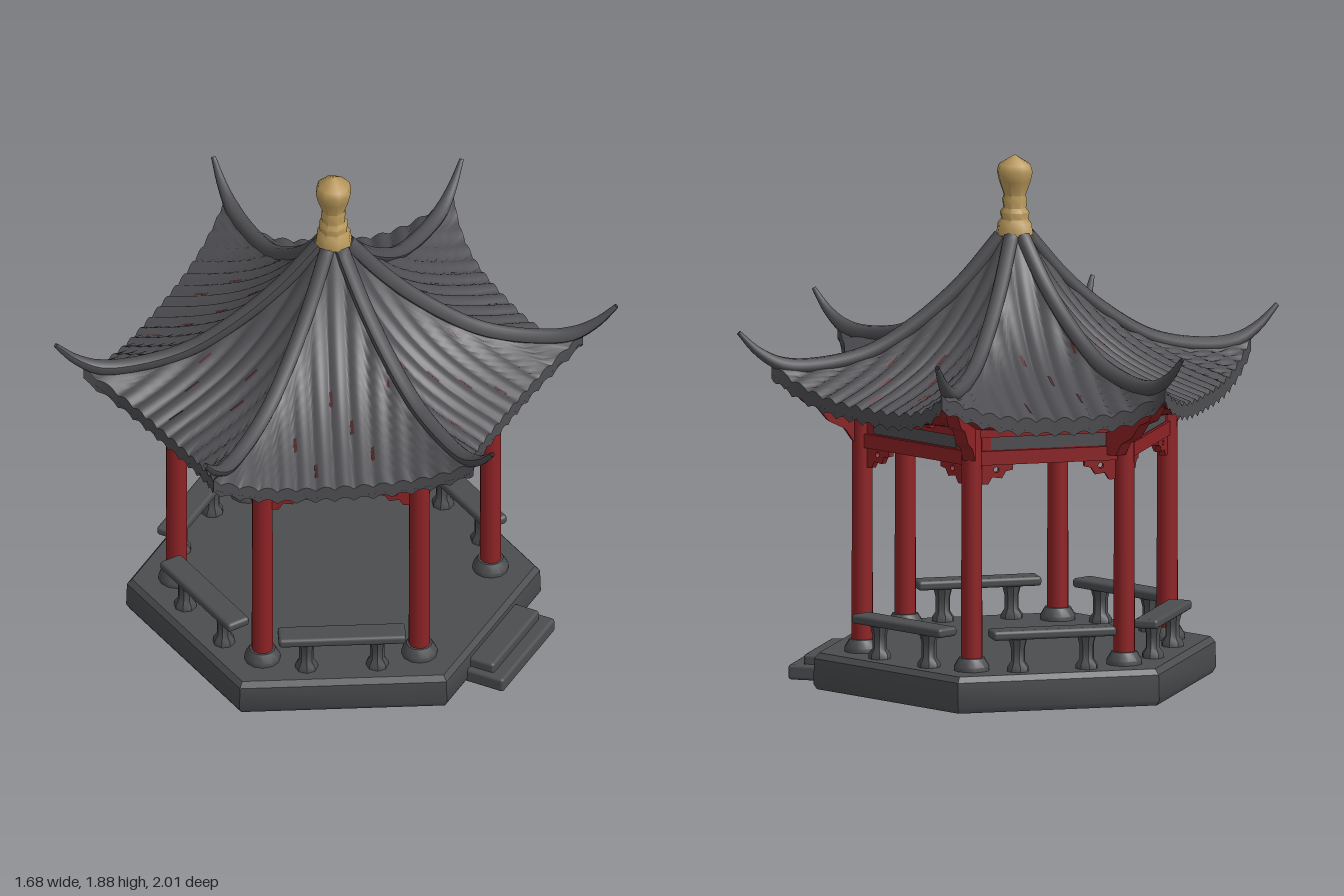
import * as THREE from 'three';
import { toCreasedNormals } from 'three/addons/utils/BufferGeometryUtils.js';
import { RoundedBoxGeometry } from 'three/addons/geometries/RoundedBoxGeometry.js';

const rad = THREE.MathUtils.degToRad;
const V = (x, y, z = 0) => new THREE.Vector3(x, y, z);
const polar = (r, deg, y) => V(r * Math.cos(rad(deg)), y, r * Math.sin(rad(deg)));

const material = (name, color, side = THREE.FrontSide) => {
  const m = new THREE.MeshStandardMaterial({ color, side });
  m.name = name;
  return m;
};

// Grid surface from a rule fn(s, t) -> Vector3
function surface(fn, ns, nt) {
  const pos = [], index = [];
  for (let j = 0; j <= nt; j++)
    for (let i = 0; i <= ns; i++) pos.push(...fn(i / ns, j / nt).toArray());
  for (let j = 0; j < nt; j++)
    for (let i = 0; i < ns; i++) {
      const a = j * (ns + 1) + i, b = a + ns + 1;
      index.push(a, a + 1, b, a + 1, b + 1, b);
    }
  const g = new THREE.BufferGeometry();
  g.setAttribute('position', new THREE.Float32BufferAttribute(pos, 3));
  g.setIndex(index);
  g.computeVertexNormals();
  return g;
}

// Turned shape, creased where faces meet at more than the given angle
function turned(points, sides, crease = 0.6) {
  const g = new THREE.LatheGeometry(points.map(([r, y]) => new THREE.Vector2(r, y)), sides);
  return toCreasedNormals(g, crease);
}

// Flat plate in the local xy plane, centred on z = 0
function plate(points, depth, hole) {
  const shape = new THREE.Shape(points.map(([x, y]) => new THREE.Vector2(x, y)));
  if (hole) shape.holes.push(new THREE.Path().absarc(hole[0], hole[1], hole[2], 0, Math.PI * 2, true));
  const g = new THREE.ExtrudeGeometry(shape, { depth, bevelEnabled: false, curveSegments: 6 });
  return g.translate(0, 0, -depth / 2);
}

export function createModel() {
  const tile = material('roof grey', 0x4f4f53, THREE.DoubleSide);
  const stone = material('stone grey', 0x4c4d4f);
  const red = material('painted red', 0x8f2326, THREE.DoubleSide);
  const brown = material('weathered red brown', 0x522c2c, THREE.DoubleSide);
  const gold = material('finial gold', 0xb8975a);

  const model = new THREE.Group();
  const pavilion = new THREE.Group();
  pavilion.name = 'pavilion';
  pavilion.position.x = -0.035;
  model.add(pavilion);
  const add = (name, geo, mat, parent = pavilion) => {
    const m = new THREE.Mesh(geo, mat);
    m.name = name;
    parent.add(m);
    return m;
  };

  // Stone platform and entrance steps
  add('platform', turned([[0, 0], [0.72, 0], [0.733, 0.02], [0.73, 0.11], [0.712, 0.13], [0, 0.132]], 6), stone);
  add('upperStep', new RoundedBoxGeometry(0.14, 0.09, 0.36, 2, 0.012), stone).position.set(0.655, 0.046, 0);
  add('lowerStep', new RoundedBoxGeometry(0.2, 0.055, 0.41, 2, 0.012), stone).position.set(0.675, 0.028, 0);

  // Roof corners, eave depth of each side, and slope profiles as (radius, height)
  const hexAngle = (k) => 30 + 60 * k;
  const cornerAngle = [29, 90, 142, 218, 270, 331, 389];
  const cornerReach = [0.98, 1.04, 1, 1, 1.04, 0.98, 0.98];
  const eaveRadius = [0.72, 0.72, 0.7, 0.72, 0.72, 0.675];
  const profile = (list) => new THREE.CatmullRomCurve3(list.map(([r, y]) => V(r, y)));
  const hip = profile([[0.05, 1.6], [0.19, 1.43], [0.35, 1.29], [0.52, 1.19], [0.7, 1.145], [0.9, 1.16]]);
  const mid = profile([[0.045, 1.59], [0.15, 1.42], [0.28, 1.27], [0.41, 1.17], [0.55, 1.1], [0.7, 1.045]]);

  function roofPoint(k, s, t) {
    const h = hip.getPoint(t), m = mid.getPoint(t);
    const a = polar(h.x * cornerReach[k], cornerAngle[k], h.y);
    const b = polar(h.x * cornerReach[k + 1], cornerAngle[k + 1], h.y);
    const c = polar(m.x * eaveRadius[k] / 0.7, hexAngle(k) + 30, m.y);
    const w = 1 - Math.abs(2 * s - 1) ** 3;
    const offset = c.sub(a.clone().add(b).multiplyScalar(0.5));
    return a.lerp(b, s).addScaledVector(offset, w);
  }
  const along = (k, p) => p.dot(polar(1, hexAngle(k) + 120, 0));
  function tiledPoint(k, s, t) {
    const p = roofPoint(k, s, t);
    p.y += 0.017 * Math.abs(Math.cos(Math.PI * along(k, p) / 0.068));
    return p;
  }
  // Narrow worn strip lying in the groove at distance d along the side
  const wornStrip = (k, d, t0, t1) => surface((u, v) => {
    const t = t0 + (t1 - t0) * v;
    const a = along(k, roofPoint(k, 0, t)), b = along(k, roofPoint(k, 1, t));
    const p = tiledPoint(k, (d + (u - 0.5) * 0.011 - a) / (b - a), t);
    p.y += 0.004;
    return p;
  }, 2, 6);

  const ridgePath = [[0.05, 1.595], [0.19, 1.435], [0.35, 1.3], [0.52, 1.2], [0.7, 1.16], [0.84, 1.165], [0.93, 1.215], [1.0, 1.285]];
  const columnGeo = new THREE.CylinderGeometry(0.036, 0.038, 0.84, 16);
  const footGeo = turned([[0.064, 0.125], [0.064, 0.145], [0.046, 0.175], [0, 0.178]], 12);
  const cornerBracketGeo = plate([[0.5, 0.88], [0.59, 0.885], [0.62, 0.93], [0.68, 0.96], [0.72, 1.01],
    [0.77, 1.03], [0.82, 1.09], [0.82, 1.11], [0.5, 1.09]], 0.045);
  const eaveBracketGeo = plate([[0.47, 0.98], [0.52, 0.98], [0.55, 1.0], [0.6, 1.01], [0.64, 1.035], [0.47, 1.06]], 0.03);
  const spandrelGeo = plate([[0, 0], [0.12, 0], [0.12, -0.025], [0.095, -0.03], [0.08, -0.055],
    [0.045, -0.05], [0.03, -0.075], [0, -0.075]], 0.022, [0.06, -0.024, 0.01]);
  const legGeo = turned([[0.04, 0.12], [0.04, 0.145], [0.026, 0.165], [0.026, 0.215], [0.036, 0.255]], 8);

  for (let k = 0; k < 6; k++) {
    // Tiled slope, eave edge, inner lining and red soffit
    add('roofSlope', surface((s, t) => tiledPoint(k, s, t), 112, 18), tile);
    add('eaveEdge', surface((s, t) => {
      const p = tiledPoint(k, s, 1);
      p.y -= 0.052 * t;
      return p;
    }, 112, 1), tile);
    add('roofLining', surface((s, t) => {
      const p = roofPoint(k, s, t);
      p.y -= 0.028;
      return p;
    }, 24, 14), brown);
    add('eaveCove', surface((s, t) => {
      const beam = polar(0.56, hexAngle(k), 0.985).lerp(polar(0.56, hexAngle(k + 1), 0.985), s);
      const eave = roofPoint(k, s, 0.97);
      eave.y -= 0.034;
      return beam.lerp(eave, t);
    }, 24, 3), red);
    for (let i = 0; i < 6; i++) {
      const start = 0.45 + 0.07 * ((i * 5 + k * 3) % 7);
      add('wornStrip', wornStrip(k, 0.068 * (i - 2.5), start, start + 0.07), brown);
    }

    // Hip ridge with upturned tapering horn
    const path = new THREE.CatmullRomCurve3(ridgePath.map(([r, y]) => polar(r, cornerAngle[k], y)));
    const rings = 40, sides = 8;
    const ridge = new THREE.TubeGeometry(path, rings, 0.028, sides);
    const pos = ridge.attributes.position;
    for (let i = 0; i < pos.count; i++) {
      const u = Math.floor(i / (sides + 1)) / rings;
      const centre = path.getPointAt(u);
      const p = V(0, 0).fromBufferAttribute(pos, i).sub(centre);
      p.multiplyScalar(u < 0.82 ? 1 : 1 - 0.7 * (u - 0.82) / 0.18).add(centre);
      pos.setXYZ(i, p.x, p.y, p.z);
    }
    ridge.computeVertexNormals();
    add('hipRidge', ridge, tile);

    // Column on a stone foot, with the corner bracket
    const foot = polar(0.555, hexAngle(k), 0);
    add('columnFoot', footGeo, stone).position.copy(foot);
    add('column', columnGeo, red).position.copy(foot).setY(0.58);
    add('cornerBracket', cornerBracketGeo, red).rotation.y = -rad(0.4 * hexAngle(k) + 0.6 * cornerAngle[k]);

    // One side of the frame: local x points outward, z runs along the side
    const side = new THREE.Group();
    side.name = 'frameSide';
    side.rotation.y = -rad(hexAngle(k) + 30);
    pavilion.add(side);
    const box = (name, w, h, d, x, y, mat) =>
      add(name, new THREE.BoxGeometry(w, h, d), mat, side).position.set(x, y, 0);
    box('lowerBeam', 0.04, 0.05, 0.555, 0.48, 0.888, red);
    box('frieze', 0.02, 0.07, 0.54, 0.48, 0.938, red);
    box('friezePanel', 0.028, 0.045, 0.42, 0.48, 0.94, tile);
    box('upperBeam', 0.05, 0.05, 0.57, 0.48, 0.988, red);
    for (const e of [-1, 1]) {
      const spandrel = add('spandrel', spandrelGeo, red, side);
      spandrel.position.set(0.48, 0.868, e * 0.25);
      spandrel.rotation.y = e * Math.PI / 2;
      add('eaveBracket', eaveBracketGeo, red, side).position.z = e * 0.1;
    }

    // Bench on every side but the entrance
    if (k === 5) continue;
    const bench = new THREE.Group();
    bench.name = 'bench';
    bench.position.x = 0.543;
    side.add(bench);
    add('benchSeat', new RoundedBoxGeometry(0.09, 0.034, 0.45, 2, 0.012), stone, bench).position.y = 0.264;
    for (const e of [-1, 1]) add('benchLeg', legGeo, stone, bench).position.z = e * 0.125;
  }

  // Golden finial
  add('finial', turned([[0, 1.59], [0.068, 1.6], [0.062, 1.64], [0.05, 1.655], [0.054, 1.68], [0.042, 1.695],
    [0.046, 1.725], [0.04, 1.74], [0.058, 1.79], [0.066, 1.825], [0.058, 1.85], [0, 1.885]], 8, 1.0), gold);

  return model;
}
